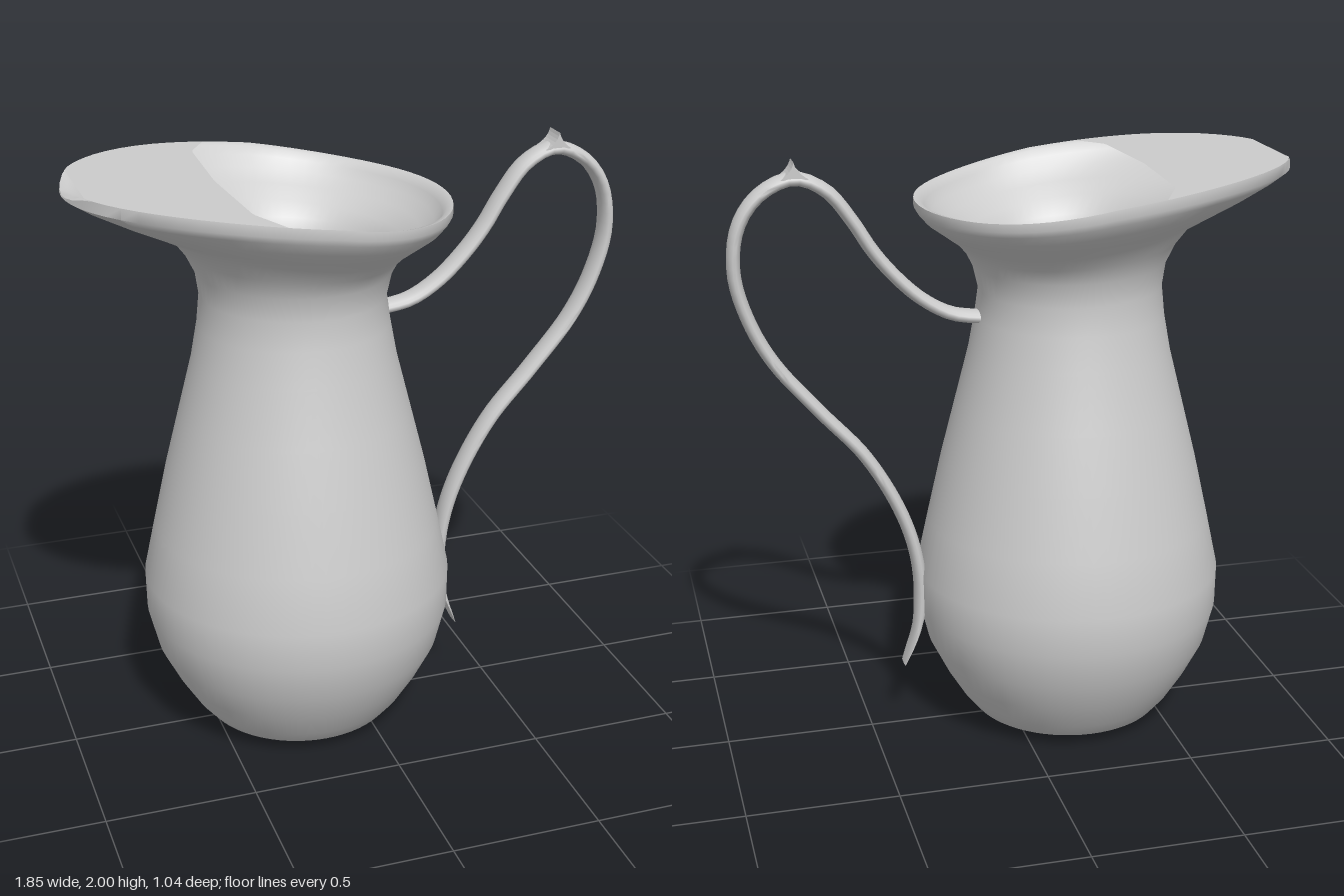
import * as THREE from 'three';
import { toCreasedNormals } from 'three/addons/utils/BufferGeometryUtils.js';

const CX = -0.2; // axis of the jug body
const smooth = t => t * t * (3 - 2 * t);

// Surface from rows of points; wrap joins the last column to the first
function grid(rows, wrap) {
  const n = rows[0].length, pos = [], idx = [];
  rows.forEach(r => r.forEach(p => pos.push(...p)));
  for (let i = 0; i < rows.length - 1; i++) {
    for (let j = 0; j < (wrap ? n : n - 1); j++) {
      const k = (j + 1) % n, a = i * n + j, b = i * n + k;
      idx.push(a, a + n, b, b, a + n, b + n);
    }
  }
  const g = new THREE.BufferGeometry();
  g.setAttribute('position', new THREE.Float32BufferAttribute(pos, 3));
  g.setIndex(idx);
  g.computeVertexNormals();
  return g;
}

// Ring with separate spout-side and handle-side reach and height
function ring([rL, rR, rz, yL, yR], isLip) {
  const pts = [], n = 64;
  for (let j = 0; j < n; j++) {
    const a = j / n * Math.PI * 2, c = Math.cos(a);
    const x = CX + c * (c < 0 ? rL : rR);
    let y = yR + (yL - yR) * smooth((1 - c) / 2);
    if (isLip) y -= 0.7 * Math.max(0, -0.885 - x); // dip at the pouring tip
    pts.push([x, y, rz * Math.sin(a)]);
  }
  return pts;
}

const round = (r, y) => [r, r, r, y, y];

function jugGeometry() {
  const belly = [[0, 0.003], [0.22, 0.003], [0.27, 0.015], [0.33, 0.045], [0.375, 0.1], [0.43, 0.19],
    [0.485, 0.3], [0.517, 0.43], [0.519, 0.56], [0.48, 0.74], [0.433, 0.95], [0.385, 1.14],
    [0.337, 1.33], [0.315, 1.45]];
  const flare = [[0.305, 0.303, 0.3, 1.55, 1.54], [0.316, 0.322, 0.312, 1.63, 1.62],
    [0.35, 0.345, 0.34, 1.70, 1.665], [0.4, 0.375, 0.385, 1.765, 1.70],
    [0.49, 0.43, 0.44, 1.81, 1.74], [0.6, 0.475, 0.485, 1.86, 1.772],
    [0.69, 0.5, 0.51, 1.905, 1.80]];
  const rows = [...belly.map(([r, y]) => ring(round(r, y))), ...flare.map(r => ring(r))];
  // rolled lip
  rows.push(ring([0.73, 0.51, 0.52, 1.93, 1.818]), ring([0.728, 0.51, 0.517, 1.965, 1.843], true),
    ring([0.705, 0.49, 0.497, 1.955, 1.838], true));
  // inside wall down to the floor
  const t = 0.025;
  flare.slice().reverse().forEach(([l, r, z, yl, yr], i) => {
    const up = i < 5 ? 0.018 : 0;
    rows.push(ring([l - t, r - t, z - t, yl + up, yr + up]));
  });
  belly.slice(4).reverse().forEach(([r, y]) => rows.push(ring(round(r - t, y))));
  rows.push(ring(round(0.3, 0.04)), ring(round(0, 0.04)));
  return toCreasedNormals(grid(rows, true), 0.95);
}

// Sheet closing the top of the spout, following the slope of the rim
function coverGeometry() {
  const rows = [];
  for (let i = 0; i <= 48; i++) {
    const z = 0.503 * Math.sin((i / 48 - 0.5) * Math.PI), az = Math.abs(z);
    const inner = az < 0.37 ? -0.45 + 0.02 * az / 0.37 : -0.43 + 0.07 * (az - 0.37) / 0.133;
    const outer = Math.max(-0.888, CX - 0.726 * Math.sqrt(1 - (z / 0.517) ** 2));
    const row = [];
    for (let j = 0; j <= 12; j++) {
      const x = inner + (Math.min(outer, inner) - inner) * j / 12;
      row.push([x, 1.843 + 0.122 * smooth((1 - (x - CX) / 0.728) / 2), z]);
    }
    rows.push(row);
  }
  return grid(rows, false);
}

// Flat oval strap swept along an S curve, thinning to a point at the foot
function handleGeometry() {
  const path = new THREE.CatmullRomCurve3([[0.08, 1.453], [0.2, 1.473], [0.3, 1.53], [0.39, 1.615],
    [0.458, 1.70], [0.52, 1.80], [0.6, 1.90], [0.7, 1.943], [0.81, 1.897], [0.88, 1.80], [0.9, 1.65],
    [0.86, 1.49], [0.785, 1.345], [0.643, 1.17], [0.5, 1.005], [0.39, 0.81], [0.337, 0.65],
    [0.32, 0.49], [0.335, 0.36], [0.383, 0.23]].map(([x, y]) => new THREE.Vector3(x, y, 0)));
  const rows = [], n = 80, sides = 14;
  for (let i = -1; i <= n + 1; i++) {
    const u = Math.min(Math.max(i / n, 0), 1);
    const p = path.getPointAt(u), d = path.getTangentAt(u);
    const open = i >= 0 && i <= n ? 1 : 0; // zero-size rings cap the ends
    const a = open * 0.022 * Math.min(1, 0.1 + (1 - u) / 0.09);
    const b = open * 0.043 * Math.min(1, 0.7 + (1 - u) / 0.06);
    const row = [];
    for (let j = 0; j < sides; j++) {
      const f = j / sides * Math.PI * 2, c = a * Math.cos(f);
      row.push([p.x + d.y * c, p.y - d.x * c, b * Math.sin(f)]);
    }
    rows.push(row);
  }
  return toCreasedNormals(grid(rows, true), 1);
}

// Small thumb ridge on the crown of the handle
function ridgeGeometry() {
  const s = new THREE.Shape();
  s.moveTo(0.655, 1.945);
  s.quadraticCurveTo(0.695, 1.965, 0.702, 2.0);
  s.quadraticCurveTo(0.71, 1.968, 0.745, 1.945);
  s.closePath();
  return new THREE.ExtrudeGeometry(s, { depth: 0.078, bevelEnabled: false, curveSegments: 6 })
    .translate(0, 0, -0.039);
}

export function createModel() {
  const group = new THREE.Group();
  group.name = 'pitcher';
  const material = new THREE.MeshStandardMaterial({ color: 0xcccccc });
  const sheet = new THREE.MeshStandardMaterial({ color: 0xcccccc, side: THREE.DoubleSide });
  const add = (name, geometry, mat = material) => {
    const mesh = new THREE.Mesh(geometry, mat);
    mesh.name = name;
    group.add(mesh);
  };
  add('jugBody', jugGeometry());
  add('spoutCover', coverGeometry(), sheet);
  add('handle', handleGeometry());
  add('thumbRidge', ridgeGeometry());
  return group;
}
